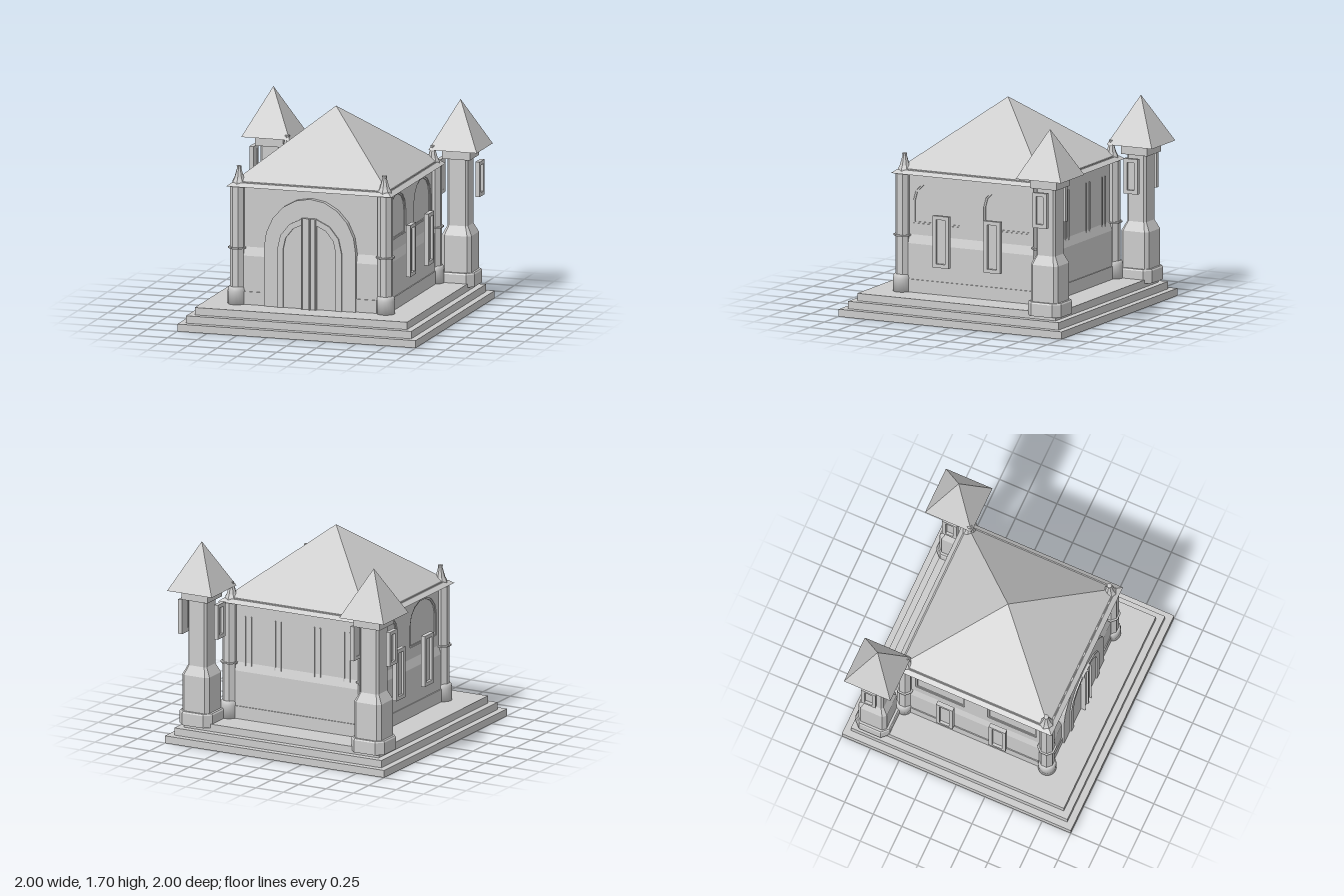
import * as THREE from 'three';

const flat = new THREE.MeshStandardMaterial({ color: 0xcccccc, flatShading: true, side: THREE.DoubleSide });
const smooth = new THREE.MeshStandardMaterial({ color: 0xcccccc, side: THREE.DoubleSide });

function add(parent, name, geometry, x = 0, y = 0, z = 0, material = flat) {
  const mesh = new THREE.Mesh(geometry, material);
  mesh.name = name;
  mesh.position.set(x, y, z);
  parent.add(mesh);
  return mesh;
}

// Box given by its centre in x and z and its bottom and top heights
function block(parent, name, w, y0, y1, d, x = 0, z = 0) {
  return add(parent, name, new THREE.BoxGeometry(w, y1 - y0, d), x, (y0 + y1) / 2, z);
}

// Square frustum given by the half widths at bottom and top
function frustum(parent, name, h0, h1, y0, y1) {
  const g = new THREE.CylinderGeometry(h1 * Math.SQRT2, h0 * Math.SQRT2, y1 - y0, 4);
  g.rotateY(Math.PI / 4);
  return add(parent, name, g, 0, (y0 + y1) / 2, 0);
}

// Square shaft with cut corners, from levels of [height, half width, corner cut]
function chamferedShaft(levels) {
  const pos = [];
  const rings = levels.map(([y, h, c]) => [
    [h, h - c], [h - c, h], [c - h, h], [-h, h - c], [-h, c - h], [c - h, -h], [h - c, -h], [h, c - h],
  ].map(([x, z]) => [x, y, z]));
  for (let k = 0; k < rings.length - 1; k++) {
    for (let i = 0; i < 8; i++) {
      const j = (i + 1) % 8;
      const a = rings[k][i], b = rings[k][j], c = rings[k + 1][j], d = rings[k + 1][i];
      pos.push(...a, ...c, ...b, ...a, ...d, ...c);
    }
  }
  const bottom = rings[0], top = rings[rings.length - 1];
  for (let i = 1; i < 7; i++) {
    pos.push(...bottom[0], ...bottom[i], ...bottom[i + 1], ...top[0], ...top[i + 1], ...top[i]);
  }
  const g = new THREE.BufferGeometry();
  g.setAttribute('position', new THREE.Float32BufferAttribute(pos, 3));
  g.computeVertexNormals();
  return g;
}

// Arch outline: straight sides with a half ellipse on top
function archPoints(half, bottom, spring, top, segments, cx = 0) {
  const pts = [new THREE.Vector2(cx - half, bottom), new THREE.Vector2(cx + half, bottom)];
  for (let i = 0; i <= segments; i++) {
    const a = (Math.PI * i) / segments;
    pts.push(new THREE.Vector2(cx + half * Math.cos(a), spring + (top - spring) * Math.sin(a)));
  }
  return pts;
}

function rectPoints(w, y0, y1) {
  return [[-w, y0], [w, y0], [w, y1], [-w, y1]].map(([x, y]) => new THREE.Vector2(x / 2, y));
}

function plate(outline, holes, depth) {
  const shape = new THREE.Shape(outline);
  holes.forEach((h) => shape.holes.push(new THREE.Path(h)));
  return new THREE.ExtrudeGeometry(shape, { depth, bevelEnabled: false });
}

function lathe(points, sides) {
  return new THREE.LatheGeometry(points.map((p) => new THREE.Vector2(...p)), sides);
}

// Framed window whose back lies at z = 0 and which faces +z
function framedWindow(name, w, h, rim) {
  const g = new THREE.Group();
  g.name = name;
  add(g, 'windowFrame', plate(rectPoints(w, 0, h), [rectPoints(w - 2 * rim, rim, h - rim)], 0.036));
  block(g, 'windowPane', w - 2 * rim, rim, h - rim, 0.012, 0, 0.008);
  return g;
}

function makeTower() {
  const t = new THREE.Group();
  t.name = 'tower';
  add(t, 'towerFoot', chamferedShaft([[0.15, 0.15, 0.055], [0.25, 0.15, 0.055], [0.262, 0.142, 0.05]]));
  add(t, 'towerShaft', chamferedShaft([
    [0.25, 0.123, 0.028], [0.56, 0.123, 0.028], [0.635, 0.085, 0.016], [1.19, 0.085, 0.016],
  ]));
  block(t, 'towerNeck', 0.235, 1.18, 1.265, 0.235);
  frustum(t, 'towerRoof', 0.203, 0, 1.262, 1.65);
  for (const s of [-1, 1]) {
    const w = framedWindow('towerWindow', 0.125, 0.285, 0.03);
    w.position.set(s * 0.145, 0.875, 0);
    w.rotation.y = s * Math.PI / 2;
    t.add(w);
  }
  return t;
}

function makeColumn() {
  const c = new THREE.Group();
  c.name = 'cornerColumn';
  const shaft = new THREE.CylinderGeometry(0.062, 0.062, 0.96, 8);
  shaft.rotateY(Math.PI / 8);
  add(c, 'columnShaft', shaft, 0, 0.66, 0);
  const foot = [[0, 0.18], [0.073, 0.18], [0.073, 0.285], [0.069, 0.31], [0.06, 0.322], [0, 0.322]];
  add(c, 'columnFoot', lathe(foot, 20), 0.005, 0, 0.005, smooth);
  const ring = new THREE.CylinderGeometry(0.077, 0.077, 0.012, 8);
  ring.rotateY(Math.PI / 8);
  add(c, 'columnRing', ring, 0, 0.637, 0);
  // Flared finial standing on the eave
  const spike = [[0, 1.145], [0.06, 1.155], [0.055, 1.175], [0.041, 1.2], [0.029, 1.24], [0.019, 1.275], [0.021, 1.297], [0, 1.303]];
  add(c, 'finial', lathe(spike, 8), -0.01, 0, -0.01);
  return c;
}

export function createModel() {
  const model = new THREE.Group();
  model.name = 'gatehouse';

  // Stepped platform
  [1, 0.945, 0.89].forEach((h, i) => block(model, 'platformStep', 2 * h, i * 0.06, (i + 1) * 0.06, 2 * h));

  // Walls: plinth, thick lower part, sloped ledge and upper core
  block(model, 'plinth', 1.3, 0.18, 0.285, 1.3);
  block(model, 'lowerWall', 1.284, 0.285, 0.575, 1.284);
  frustum(model, 'wallLedge', 0.642, 0.62, 0.575, 0.645);
  block(model, 'upperWall', 1.214, 0.64, 1.15, 1.214);

  // Upper wall facings on the front and back
  for (const s of [-1, 1]) block(model, 'wallFacing', 1.24, 0.64, 1.15, 0.02, 0, s * 0.61);

  // Sides: facing with two arched niches, their rims and the framed windows
  for (const s of [-1, 1]) {
    const side = new THREE.Group();
    side.name = 'sideWall';
    side.rotation.y = s * Math.PI / 2;
    const niches = [-0.315, 0.315].map((x) => archPoints(0.213, 0.738, 0.92, 1.1, 7, x));
    add(side, 'nicheFacing', plate(rectPoints(1.24, 0.64, 1.15), niches, 0.02), 0, 0, 0.6);
    for (const m of [-1, 1]) {
      const rim = plate(archPoints(0.213, 0.738, 0.92, 1.1, 7, m * 0.315),
        [archPoints(0.199, 0.75, 0.92, 1.086, 7, m * 0.315)], 0.014);
      add(side, 'nicheRim', rim, 0, 0, 0.6);
      const w = framedWindow('sideWindow', 0.145, 0.42, 0.03);
      w.position.set(m * 0.23, 0.415, 0.687);
      side.add(w);
    }
    model.add(side);
  }

  // Back: narrow slit windows, barely standing out of the wall
  for (const x of [-0.45, -0.18, 0.18, 0.45]) {
    for (const m of [-1, 1]) block(model, 'slitJamb', 0.01, 0.6, 1.03, 0.02, x + m * 0.027, -0.618);
  }

  // Gate: surround, inner arch, door leaves and the raised middle
  const outer = archPoints(0.385, 0.18, 0.65, 1.075, 10);
  const middle = archPoints(0.27, 0.18, 0.65, 0.922, 7);
  const inner = archPoints(0.222, 0.18, 0.65, 0.875, 7);
  add(model, 'gateSurround', plate(outer, [middle], 0.075), 0, 0, 0.59);
  add(model, 'gateInnerArch', plate(middle, [inner], 0.088), 0, 0, 0.59);
  add(model, 'gateDoor', plate(inner, [], 0.075), 0, 0, 0.59);
  block(model, 'doorMiddle', 0.125, 0.18, 0.92, 0.09, 0, 0.643);
  for (const [x, w] of [[-0.058, 0.008], [0.005, 0.014], [0.058, 0.008]]) {
    block(model, 'doorBar', w, 0.18, 0.92, 0.03, x, 0.688);
  }

  // Main roof with its sloped eave and a thin lip
  frustum(model, 'eave', 0.692, 0.655, 1.14, 1.168);
  block(model, 'roofLip', 1.3, 1.165, 1.177, 1.3);
  frustum(model, 'mainRoof', 0.645, 0, 1.175, 1.703);

  // Corner columns
  for (const sx of [-1, 1]) {
    for (const sz of [-1, 1]) {
      const c = makeColumn();
      c.position.set(sx * 0.62, 0, sz * 0.62);
      c.rotation.y = Math.atan2(sx, sz) - Math.PI / 4;
      model.add(c);
    }
  }

  // Two towers behind the rear corners
  for (const s of [-1, 1]) {
    const t = makeTower();
    t.position.set(s * 0.785, 0, -0.785);
    model.add(t);
  }
  return model;
}
